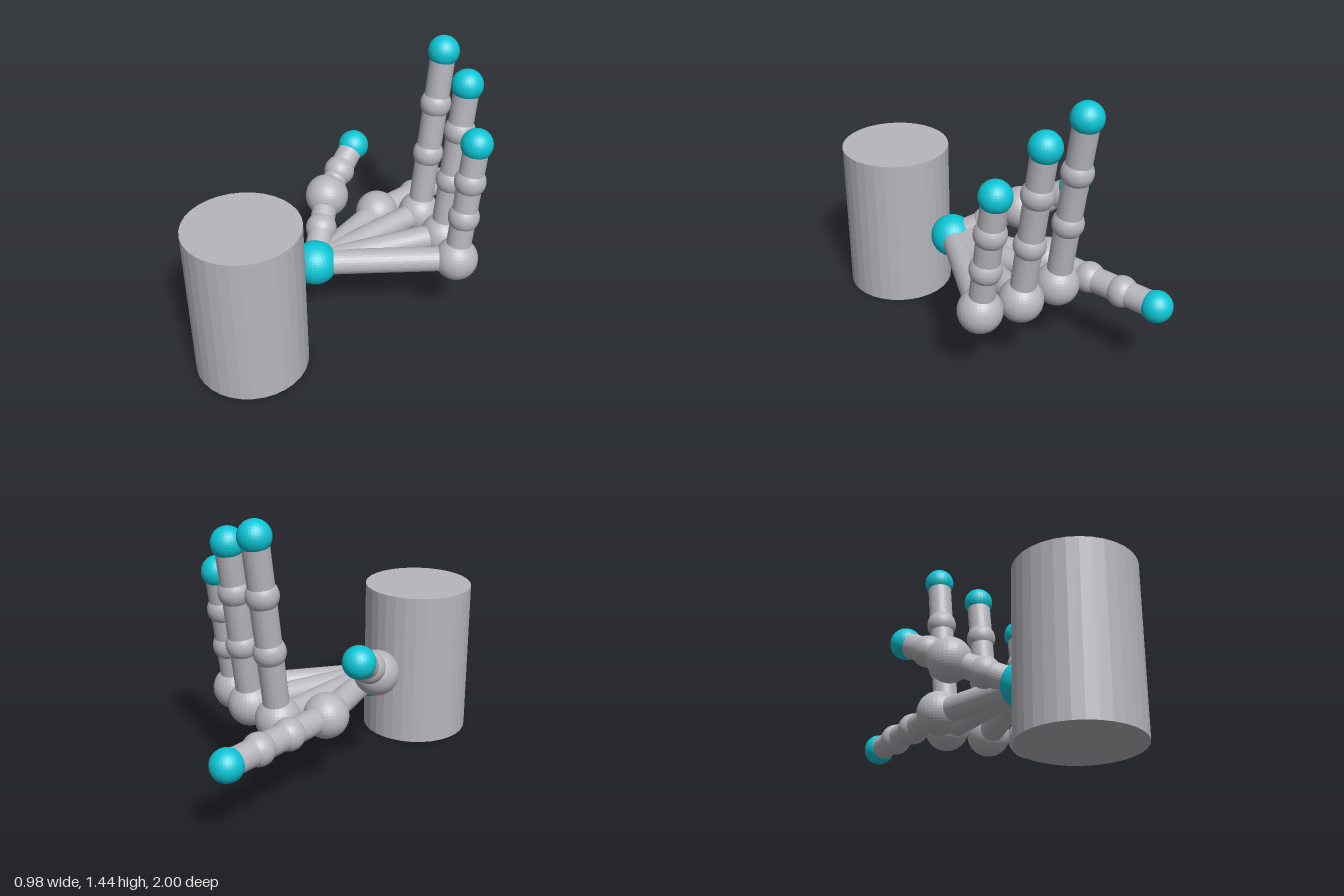
import * as THREE from 'three';

const WRIST = [-0.06, 0.42, 0.29];
const BONE_R = 0.065, JOINT_R = 0.081, KNUCKLE_R = 0.114;

// Each chain runs from the wrist to the fingertip: [x, y, z, ball radius]
const CHAINS = {
  thumb: [[-0.19, 0.505, 0.15, JOINT_R], [-0.31, 0.59, 0.018, KNUCKLE_R], [-0.362, 0.672, -0.11, JOINT_R], [-0.414, 0.755, -0.25, JOINT_R]],
  indexFinger: [[-0.212, 0.42, -0.25, KNUCKLE_R], [-0.212, 0.42, -0.52, JOINT_R], [-0.212, 0.42, -0.72, JOINT_R], [-0.212, 0.42, -0.92, JOINT_R]],
  middleFinger: [[-0.06, 0.42, -0.43, KNUCKLE_R], [-0.06, 0.785, -0.48, JOINT_R], [-0.06, 1.072, -0.52, JOINT_R], [-0.06, 1.358, -0.56, JOINT_R]],
  ringFinger: [[0.173, 0.42, -0.386, KNUCKLE_R], [0.173, 0.75, -0.432, JOINT_R], [0.173, 1.03, -0.471, JOINT_R], [0.173, 1.277, -0.506, JOINT_R]],
  littleFinger: [[0.375, 0.42, -0.297, KNUCKLE_R], [0.375, 0.668, -0.333, JOINT_R], [0.375, 0.87, -0.361, JOINT_R], [0.375, 1.073, -0.39, JOINT_R]],
};

export function createModel() {
  const grey = new THREE.MeshStandardMaterial({ color: 0xb6b6bc, flatShading: true });
  grey.name = 'grey';
  const cyan = new THREE.MeshStandardMaterial({ color: 0x0cc6d6, flatShading: true });
  cyan.name = 'cyan';

  const model = new THREE.Group();
  model.name = 'jointedHand';

  const add = (parent, name, geometry, material, position) => {
    const mesh = new THREE.Mesh(geometry, material);
    mesh.name = name;
    mesh.position.copy(position);
    parent.add(mesh);
    return mesh;
  };
  const ball = (parent, name, center, radius, material) =>
    add(parent, name, new THREE.SphereGeometry(radius, 32, 24), material, center);

  // Round rod between two points
  const rod = (parent, name, from, to) => {
    const along = to.clone().sub(from);
    const mesh = add(parent, name, new THREE.CylinderGeometry(BONE_R, BONE_R, along.length(), 32), grey,
      from.clone().add(to).multiplyScalar(0.5));
    mesh.quaternion.setFromUnitVectors(new THREE.Vector3(0, 1, 0), along.normalize());
  };

  // Standing forearm drum
  add(model, 'forearm', new THREE.CylinderGeometry(0.291, 0.291, 0.84, 32), grey, new THREE.Vector3(-0.06, 0.42, 0.709));

  // Wrist ball
  const wrist = new THREE.Vector3(...WRIST);
  ball(model, 'wrist', wrist, 0.115, cyan);

  // Fingers: bones and joints, ending in coloured tips
  for (const [name, points] of Object.entries(CHAINS)) {
    const finger = new THREE.Group();
    finger.name = name;
    let previous = wrist;
    points.forEach(([x, y, z, radius], i) => {
      const center = new THREE.Vector3(x, y, z);
      const isTip = i === points.length - 1;
      rod(finger, `bone${i + 1}`, previous, center);
      ball(finger, isTip ? 'fingertip' : radius === KNUCKLE_R ? 'knuckle' : `joint${i + 1}`, center, radius, isTip ? cyan : grey);
      previous = center;
    });
    model.add(finger);
  }
  return model;
}
